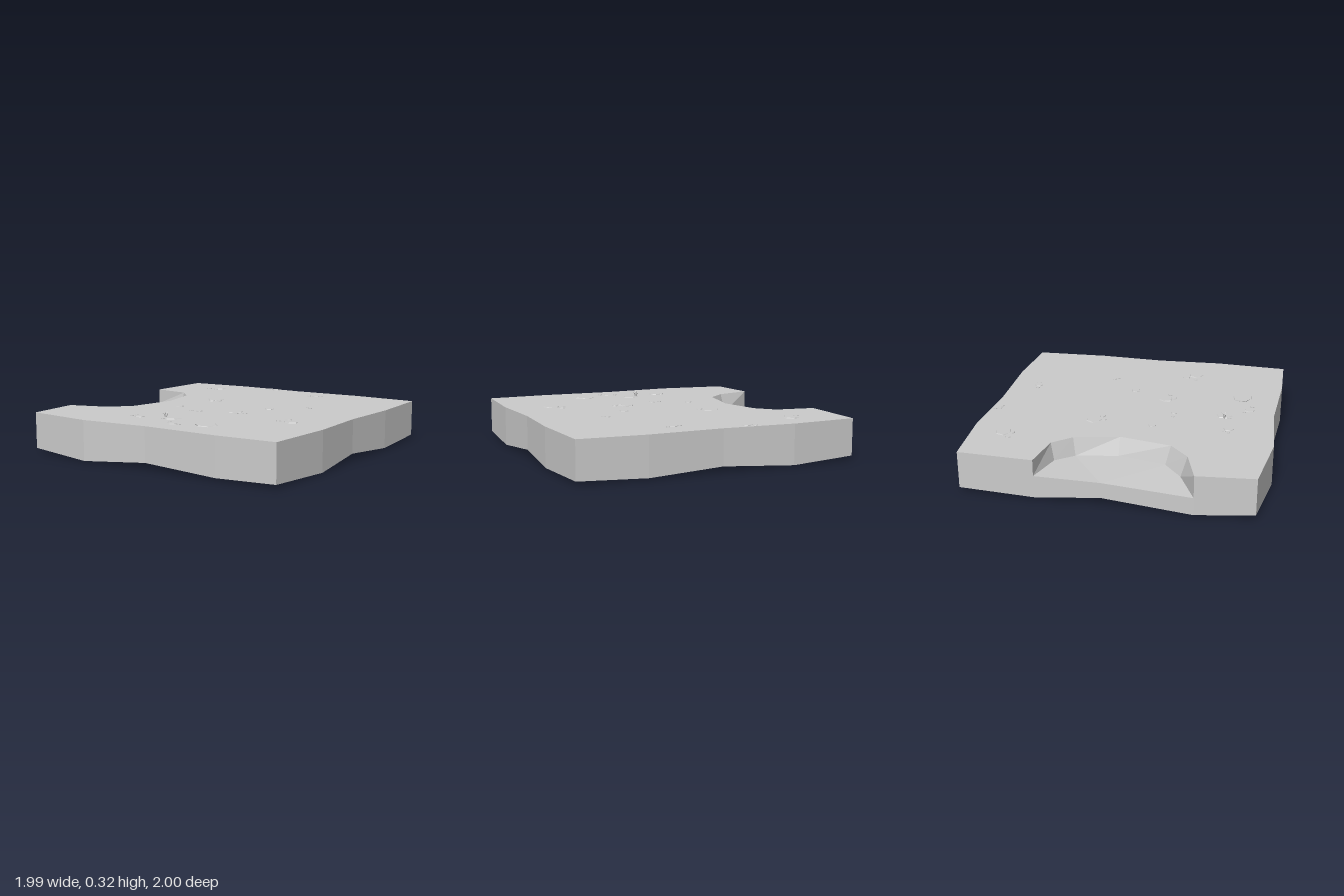
import * as THREE from 'three';

const TOP = 0.275;
const mat = new THREE.MeshStandardMaterial({ color: 0xcccccc, flatShading: true, side: THREE.DoubleSide });

function meshFrom(name, triangles) {
  const geo = new THREE.BufferGeometry();
  geo.setAttribute('position', new THREE.Float32BufferAttribute(triangles.flat(), 3));
  geo.computeVertexNormals();
  const mesh = new THREE.Mesh(geo, mat);
  mesh.name = name;
  return mesh;
}

// Quads between two matching rows of points
function strip(name, upper, lower) {
  const tris = [];
  for (let i = 0; i < upper.length - 1; i++) {
    const [a, b, c, d] = [upper[i], upper[i + 1], lower[i + 1], lower[i]];
    tris.push(a, b, c, a, c, d);
  }
  return meshFrom(name, tris);
}

const hash = (n) => { const s = Math.sin(n * 127.1 + 3.7) * 43758.5453; return s - Math.floor(s); };

// Wavy tile outline [x, z, height of lower edge], from one end of the pit round to the other
const outline = [
  [-0.985, -0.46, 0.015], [-0.965, -0.965, 0.025], [-0.5, -1, 0.005], [0, -0.98, 0.035],
  [0.51, -1, 0.01], [0.963, -0.975, 0.025], [0.985, -0.46, 0.01], [0.965, 0, 0.045],
  [0.99, 0.46, 0.005], [0.963, 0.97, 0.025], [0.55, 0.985, 0.015], [0, 0.965, 0.04],
  [-0.48, 1, 0.003], [-0.965, 0.94, 0.028], [-1, 0.56, 0.008],
];
// Pit rim [x, z] and pit floor edge [x, y, z], back to front
const rim = [[-0.985, -0.46], [-0.71, -0.42], [-0.6, -0.3], [-0.53, 0], [-0.6, 0.35], [-0.74, 0.48], [-1, 0.56]];
const floorEdge = [
  [-0.985, 0.165, -0.46], [-0.73, 0.16, -0.395], [-0.625, 0.155, -0.28], [-0.58, 0.16, 0],
  [-0.63, 0.15, 0.32], [-0.76, 0.14, 0.44], [-1, 0.125, 0.56],
];
const floorMid = [-0.965, 0.15, -0.03];

// Stones [x, z, radius]
const stones = [
  [-0.61, -0.78, 0.06], [-0.675, -0.72, 0.02], [-0.61, -0.715, 0.018],
  [-0.18, -0.94, 0.03], [-0.235, -0.96, 0.015], [-0.22, -0.93, 0.015],
  [0.26, -0.79, 0.035], [0.205, -0.78, 0.015], [0.295, -0.8, 0.015],
  [-0.28, -0.235, 0.062], [-0.27, -0.17, 0.022], [-0.22, -0.19, 0.02],
  [0.49, -0.265, 0.018], [0.51, -0.245, 0.016], [0.29, -0.06, 0.035],
  [-0.31, 0.175, 0.026], [-0.065, 0.28, 0.025], [-0.13, 0.285, 0.015],
  [0.17, 0.18, 0.055], [0.2, 0.235, 0.025], [0.255, 0.2, 0.02],
  [0.63, 0.26, 0.026], [0.6, 0.335, 0.018], [0.69, 0.33, 0.055],
  [-0.04, 0.63, 0.065], [-0.08, 0.67, 0.016], [-0.265, 0.685, 0.042],
  [-0.325, 0.69, 0.013], [-0.31, 0.66, 0.013],
  [0.085, 0.79, 0.036], [0.04, 0.76, 0.014], [0.145, 0.805, 0.014], [0.3, 0.725, 0.075],
];

// Flat six- or seven-sided stone with an uneven outline
function stone([x, z, r], index) {
  const sides = 6 + (index % 2);
  const geo = new THREE.CylinderGeometry(r * 0.88, r, 0.008, sides, 1);
  const p = geo.attributes.position;
  for (let i = 0; i < p.count; i++) {
    const px = p.getX(i), pz = p.getZ(i);
    const corner = Math.round((Math.atan2(pz, px) / (2 * Math.PI)) * sides + sides * 2) % sides;
    const k = 0.85 + 0.3 * hash(index * 11 + corner);
    p.setX(i, px * k);
    p.setZ(i, pz * k);
  }
  geo.computeVertexNormals();
  const mesh = new THREE.Mesh(geo, mat);
  mesh.name = 'stone';
  mesh.position.set(x, TOP + 0.001, z);
  mesh.rotation.y = hash(index) * 6.28;
  return mesh;
}

// Tuft of thin bent blades
function grassTuft() {
  const tris = [];
  for (let i = 0; i < 8; i++) {
    const a = (i / 8) * Math.PI * 2 + hash(i) * 0.5;
    const reach = 0.014 + 0.02 * hash(i + 20), h = 0.03 + 0.016 * hash(i + 40);
    const at = (out, side, y) => [
      Math.cos(a) * out - Math.sin(a) * side, y, Math.sin(a) * out + Math.cos(a) * side];
    const l = at(0.002, -0.003, -0.005), r = at(0.002, 0.003, -0.005);
    const ml = at(reach * 0.45, -0.003, h * 0.7), mr = at(reach * 0.45, 0.003, h * 0.7);
    tris.push(l, r, mr, l, mr, ml, ml, mr, at(reach, 0, h));
  }
  const tuft = meshFrom('grassTuft', tris);
  tuft.position.set(-0.085, TOP, 0.635);
  return tuft;
}

export function createModel() {
  const group = new THREE.Group();
  group.name = 'groundTile';

  // Flat top with the pit cut from its edge
  const plan = [...outline.map(([x, z]) => [x, z]), ...rim.slice(1, -1).reverse()];
  const shape = new THREE.Shape(plan.map(([x, z]) => new THREE.Vector2(x, -z)));
  const ground = new THREE.Mesh(new THREE.ShapeGeometry(shape).rotateX(-Math.PI / 2), mat);
  ground.name = 'ground';
  ground.position.y = TOP;
  group.add(ground);

  // Side walls, open underneath
  group.add(strip('sideWall',
    outline.map(([x, z]) => [x, TOP, z]),
    outline.map(([x, z, y]) => [x, y, z])));
  const first = floorEdge[0], last = floorEdge[floorEdge.length - 1];
  group.add(strip('wallBelowPit',
    [last, floorMid, first],
    [[last[0], 0.008, last[2]], [floorMid[0], 0.045, floorMid[2]], [first[0], 0.015, first[2]]]));

  // Pit
  group.add(strip('pitWall', floorEdge, rim.map(([x, z]) => [x, TOP, z])));
  const fan = [];
  for (let i = 0; i < floorEdge.length - 1; i++) fan.push(floorMid, floorEdge[i + 1], floorEdge[i]);
  group.add(meshFrom('pitFloor', fan));

  // Surface details
  const stoneGroup = new THREE.Group();
  stoneGroup.name = 'stones';
  stones.forEach((s, i) => stoneGroup.add(stone(s, i)));
  group.add(stoneGroup, grassTuft());
  return group;
}
